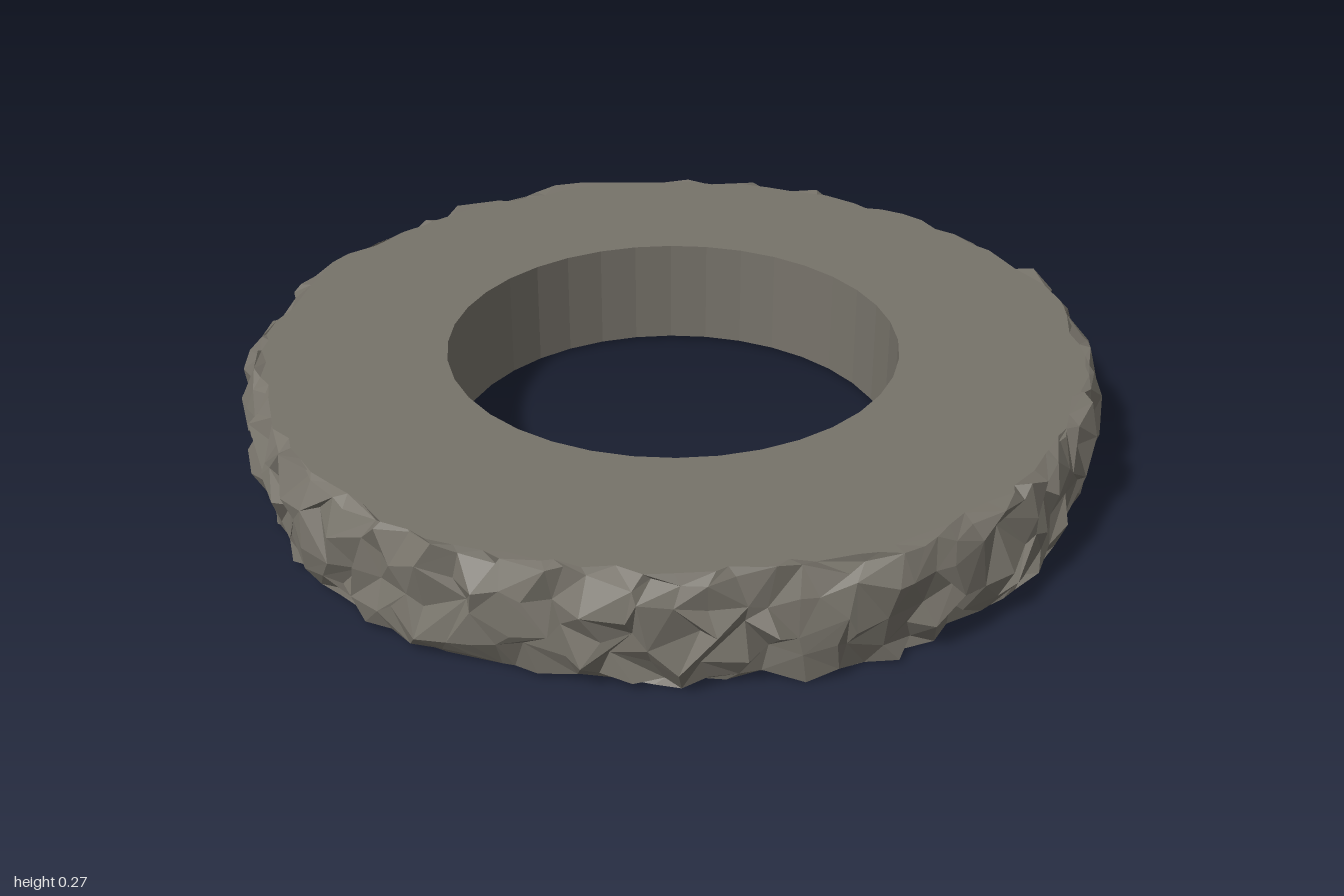
import * as THREE from 'three';

const TOP = 0.272, BOTTOM = 0.014, HOLE = 0.52;
const COLUMNS = 104, HOLE_SIDES = 36;

// Small seeded generator, returns -1..1
function makeNoise(seed) {
  let s = seed;
  return () => {
    s = (s * 16807) % 2147483647;
    return (s / 2147483647) * 2 - 1;
  };
}

// Faceted surface between closed rings of points
function ringBand(rings) {
  const pos = [];
  const tri = (...pts) => pts.forEach((p) => pos.push(p.x, p.y, p.z));
  for (let j = 0; j < rings.length - 1; j++) {
    const lower = rings[j], upper = rings[j + 1], n = lower.length;
    for (let i = 0; i < n; i++) {
      const k = (i + 1) % n;
      const a = lower[i], b = lower[k], c = upper[k], d = upper[i];
      // alternate the diagonal irregularly for a chipped look
      if ((i * 7 + j * 5) % 3) { tri(a, b, c); tri(a, c, d); }
      else { tri(a, b, d); tri(b, c, d); }
    }
  }
  const g = new THREE.BufferGeometry();
  g.setAttribute('position', new THREE.Float32BufferAttribute(pos, 3));
  g.computeVertexNormals();
  return g;
}

const polar = (r, a, y) => new THREE.Vector3(r * Math.cos(a), y, -r * Math.sin(a));

function circleRing(r, y) {
  return Array.from({ length: HOLE_SIDES }, (_, i) => polar(r, (i / HOLE_SIDES) * Math.PI * 2, y));
}

// Flat annular face bounded by the broken rim and the round hole
function flatFace(rim, hole, y, facing) {
  const flat = (p) => new THREE.Vector2(p.x, -facing * p.z);
  const shape = new THREE.Shape(rim.map(flat));
  shape.holes.push(new THREE.Path(hole.map(flat)));
  return new THREE.ShapeGeometry(shape).rotateX(-facing * Math.PI / 2).translate(0, y, 0);
}

export function createModel() {
  const group = new THREE.Group();
  group.name = 'stoneRing';
  const stone = new THREE.MeshStandardMaterial({ color: 0x77736a });
  stone.name = 'grey stone';
  const add = (name, geometry) => {
    const mesh = new THREE.Mesh(geometry, stone);
    mesh.name = name;
    group.add(mesh);
  };

  // Rough rim cross-section: radius, height, radial jitter, vertical jitter
  const profile = [
    [0.932, BOTTOM, 0.014, 0],
    [0.95, 0.022, 0.02, 0.014],
    [0.966, 0.078, 0.026, 0.022],
    [0.97, 0.142, 0.026, 0.026],
    [0.966, 0.206, 0.026, 0.022],
    [0.95, 0.264, 0.02, 0.016],
    [0.932, TOP, 0.014, 0],
  ];
  const noise = makeNoise(4217);
  const step = (Math.PI * 2) / COLUMNS;
  const rings = profile.map(([r, y, dr, dy], j) =>
    Array.from({ length: COLUMNS }, (_, i) => {
      const a = (i + (j % 2) * 0.4 + noise() * 0.42) * step;
      const swell = 0.007 * Math.sin(a * 5 + 1) + 0.006 * Math.sin(a * 13);
      const radius = Math.min(r + swell + noise() * dr, 0.998);
      return polar(radius, a, Math.max(y + noise() * dy, 0.002));
    }));
  add('roughRim', ringBand(rings));

  // Smooth-cut hole, wound to face inwards
  const holeTop = circleRing(HOLE, TOP), holeBottom = circleRing(HOLE, BOTTOM);
  add('holeWall', ringBand([holeTop, holeBottom]));

  // Level faces
  add('topFace', flatFace(rings[rings.length - 1], holeTop, TOP, 1));
  add('bottomFace', flatFace(rings[0], holeBottom, BOTTOM, -1));
  return group;
}
